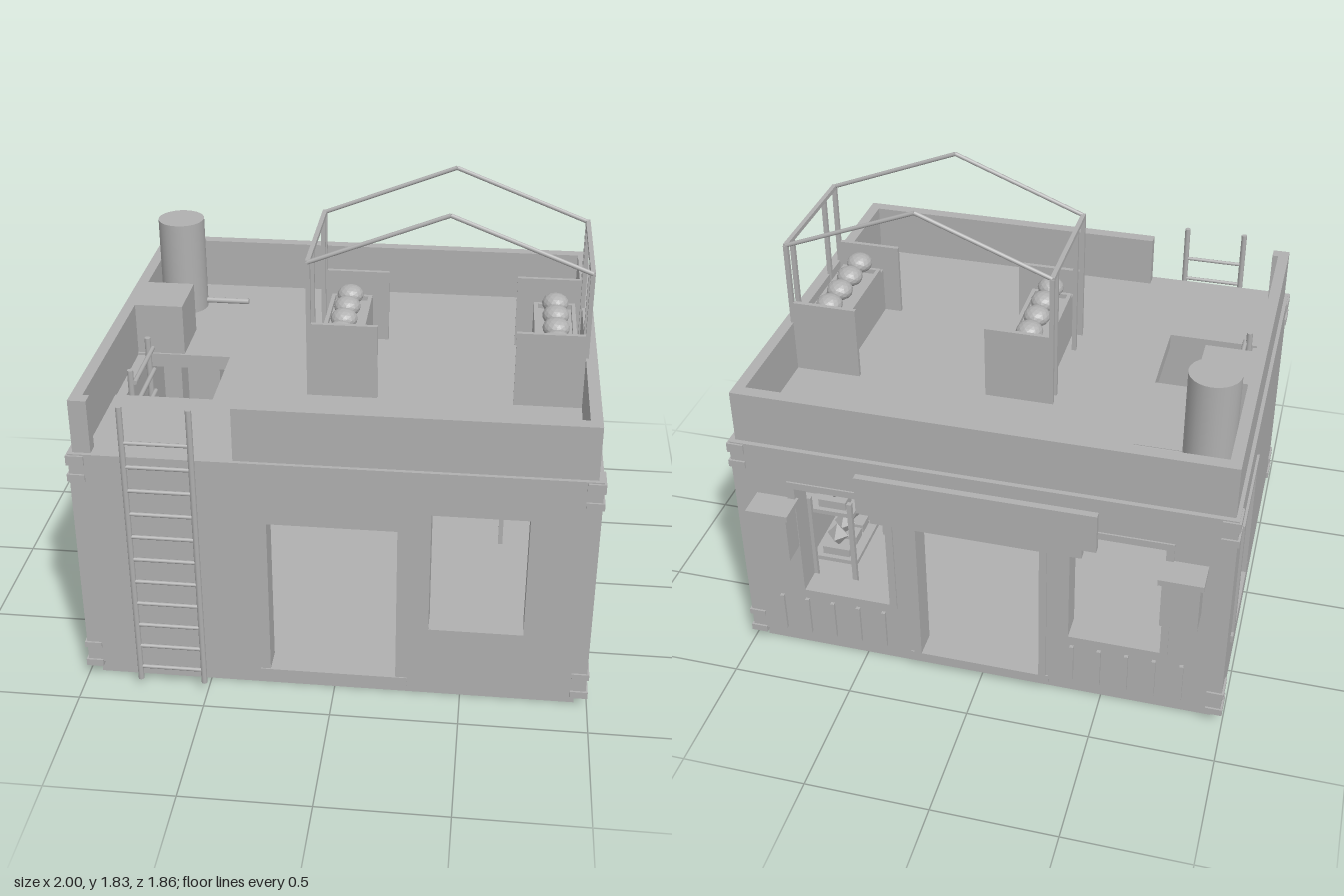
import * as THREE from 'three';

export function createModel() {
  const root = new THREE.Group();
  root.name = 'house';
  const stone = new THREE.MeshStandardMaterial({ color: 0xb0b0b0 });
  stone.name = 'plain grey';
  const facet = stone.clone();
  facet.flatShading = true;

  const add = (name, geo, mat = stone) => {
    const m = new THREE.Mesh(geo, mat);
    m.name = name;
    root.add(m);
    return m;
  };
  // box given by its min and max along each axis
  const box = (name, x0, x1, y0, y1, z0, z1) =>
    add(name, new THREE.BoxGeometry(x1 - x0, y1 - y0, z1 - z0)
      .translate((x0 + x1) / 2, (y0 + y1) / 2, (z0 + z1) / 2));
  const rod = (name, a, b, r, sides = 8) => {
    const p = new THREE.Vector3(...a), q = new THREE.Vector3(...b);
    const m = add(name, new THREE.CylinderGeometry(r, r, p.distanceTo(q), sides));
    m.position.copy(p).add(q).multiplyScalar(0.5);
    m.quaternion.setFromUnitVectors(new THREE.Vector3(0, 1, 0), q.sub(p).normalize());
    return m;
  };
  // flat panel with rectangular holes, each rectangle as [u0, u1, v0, v1]
  const panel = (rect, holes, depth) => {
    const trace = (path, [a, b, c, d]) => {
      path.moveTo(a, c).lineTo(b, c).lineTo(b, d).lineTo(a, d).closePath();
      return path;
    };
    const s = trace(new THREE.Shape(), rect);
    holes.forEach(h => s.holes.push(trace(new THREE.Path(), h)));
    return new THREE.ExtrudeGeometry(s, { depth, bevelEnabled: false });
  };

  // base and floor
  box('base', -0.95, 0.95, 0, 0.09, -0.765, 0.825);
  box('floor', -0.9, 0.9, 0.08, 0.1, -0.73, 0.79);

  // walls
  const door = [-0.25, 0.245, 0.1, 0.78];
  const winL = [0.37, 0.735, 0.34, 0.86], winR = [-0.735, -0.37, 0.34, 0.86];
  const sideWinL = [0.205, 0.53, 0.335, 0.86], sideWinR = [0.255, 0.58, 0.335, 0.86];
  const full = [-0.99, 0.99, 0.08, 1.03], side = [-0.77, 0.71, 0.08, 1.03];
  add('frontWall', panel(full, [door, winL], 0.1).translate(0, 0, 0.765));
  add('backWall', panel(full, [door, winL, winR], 0.1).translate(0, 0, -0.81));
  add('leftWall', panel(side, [sideWinL], 0.1).rotateY(Math.PI / 2).translate(0.89, 0, 0));
  add('rightWall', panel(side, [sideWinR], 0.1).rotateY(Math.PI / 2).translate(-0.99, 0, 0));
  box('frontThreshold', -0.29, 0.29, 0.06, 0.1, 0.78, 0.87);
  box('backThreshold', -0.29, 0.29, 0.06, 0.1, -0.815, -0.73);

  // thin frames round the back openings
  for (const [a, b, c, d] of [door, winL, winR]) {
    add('backFrame', panel([a - 0.03, b + 0.03, c - 0.02, d + 0.03], [[a, b, c, d]], 0.008)
      .translate(0, 0, -0.817));
  }
  // side window frames with lintel and sill
  for (const [s, h] of [[1, sideWinL], [-1, sideWinR]]) {
    const x0 = s > 0 ? 0.97 : -1, x1 = x0 + 0.03;
    const [a, b] = [-h[1], -h[0]];
    box('sideLintel', x0, x1, 0.86, 0.893, a - 0.07, b + 0.07);
    box('sideSill', x0, x1, 0.302, 0.335, a - 0.07, b + 0.07);
    box('sideJamb', x0, x1 - s * 0.004, 0.335, 0.86, a - 0.046, a);
    box('sideJamb', x0, x1 - s * 0.004, 0.335, 0.86, b, b + 0.046);
  }

  // corner bands
  for (const sx of [-1, 1]) for (const front of [true, false]) {
    for (const [y0, y1] of [[0.995, 1.035], [0.925, 0.955], [0.15, 0.175], [0.06, 0.09]]) {
      const z0 = front ? 0.775 : -0.818, x0 = sx > 0 ? 0.93 : -0.998;
      box('cornerBand', x0, x0 + 0.068, y0, y1, z0, z0 + 0.098);
    }
  }

  // roof with hatch (drawn in x and -z, then laid flat)
  add('roof', panel([-0.99, 0.99, -0.865, 0.81], [[-0.93, -0.535, -0.385, -0.005]], 0.06)
    .rotateX(-Math.PI / 2).translate(0, 0.98, 0));

  // parapet, open at the front for the ladder
  const P = [1.04, 1.258];
  box('parapetBack', -0.975, 0.97, ...P, -0.79, -0.74);
  box('parapetRight', -0.975, -0.93, ...P, -0.74, 0.85);
  box('parapetLeft', 0.925, 0.97, ...P, -0.74, 0.85);
  box('parapetFront', -0.37, 0.925, ...P, 0.8, 0.85);
  box('parapetStub', -0.93, -0.905, ...P, 0.8, 0.85);

  // roof box and water barrel
  box('roofBox', -0.93, -0.73, ...P, -0.245, -0.005);
  rod('barrel', [-0.828, 1.04, -0.5], [-0.828, 1.458, -0.5], 0.1, 24);
  rod('barrelPipe', [-0.75, 1.07, -0.5], [-0.54, 1.07, -0.5], 0.013);

  // outside ladder
  for (const x of [-0.765, -0.51]) rod('ladderRail', [x, 0.05, 0.915], [x, 1.28, 0.915], 0.012);
  for (let i = 0; i < 11; i++) {
    const y = 0.11 + i * 0.102;
    rod('ladderRung', [-0.765, y, 0.915], [-0.51, y, 0.915], 0.008);
  }
  // inside ladder under the hatch
  for (const z of [0.04, 0.34]) rod('innerLadderRail', [-0.875, 0.1, z], [-0.875, 1.13, z], 0.013);
  for (let i = 0; i < 10; i++) {
    const y = 0.17 + i * 0.101;
    rod('innerLadderRung', [-0.858, y, 0.03], [-0.858, y, 0.35], 0.01);
  }

  // roof stall: planters, end panels and round plants
  for (const [cx, p0, p1] of [[-0.038, -0.165, 0.115], [0.812, 0.655, 0.93]]) {
    const x0 = cx - 0.085, x1 = cx + 0.085;
    box('planter', x0, x1, 1.04, 1.24, -0.235, 0.285);
    add('planterRim', panel([x0, x1, -0.255, 0.205], [[x0 + 0.016, x1 - 0.016, -0.239, 0.189]], 0.02)
      .rotateX(-Math.PI / 2).translate(0, 1.24, 0));
    for (const z of [-0.245, 0.295]) box('stallPanel', p0, p1, 1.04, 1.352, z - 0.009, z + 0.009);
    for (let i = 0; i < 4; i++) {
      const ball = add('roundPlant', new THREE.IcosahedronGeometry(0.055, 2), facet);
      ball.scale.y = 0.75;
      ball.position.set(cx, 1.293, -0.13 + i * 0.12);
    }
  }
  // stall frame
  for (const x of [-0.157, 0.927]) {
    for (const z of [0.295, 0.17, -0.18, -0.245]) {
      box('stallPost', x - 0.009, x + 0.009, 1.04, 1.61, z - 0.009, z + 0.009);
    }
    box('stallBeam', x - 0.009, x + 0.009, 1.6, 1.618, -0.25, 0.3);
    for (const z of [0.298, -0.245]) rod('gableBar', [x, 1.61, z], [0.385, 1.822, z], 0.009);
  }

  // stepped board above the back door
  box('backBoard', -0.475, 0.475, 0.81, 0.98, -0.838, -0.805);
  box('backBoardStep', -0.42, 0.42, 0.77, 0.81, -0.838, -0.805);

  // wall lanterns and rods on the back
  for (const s of [-1, 1]) {
    const cx = s * 0.81;
    box('lanternCap', cx - 0.086, cx + 0.086, 0.785, 0.81, -0.93, -0.805);
    box('lanternBody', cx - 0.072, cx + 0.072, 0.575, 0.785, -0.915, -0.805);
    for (let i = 0; i < 5; i++) {
      const x = (s > 0 ? 0.4 : -0.825) + i * 0.11;
      box('wallRod', x - 0.008, x + 0.008, 0.11, 0.29, -0.824, -0.8);
    }
  }

  // plant shelves inside the window
  for (const y of [0.23, 0.487]) {
    box('shelf', 0.63, 0.83, y, y + 0.02, -0.505, -0.13);
    for (let i = 0; i < 4; i++) {
      const z = -0.19 - i * 0.0865;
      box('pot', 0.67, 0.79, y + 0.02, y + 0.058, z - 0.035, z + 0.035);
      const plant = add('pottedPlant', new THREE.OctahedronGeometry(0.056), facet);
      plant.scale.set(0.85, 1.05, 0.85);
      plant.position.set(0.73, y + 0.11, z);
    }
  }
  for (const x of [0.64, 0.82]) for (const z of [-0.51, -0.125]) {
    box('shelfPost', x - 0.01, x + 0.01, 0.1, 0.57, z - 0.01, z + 0.01);
  }

  return root;
}
